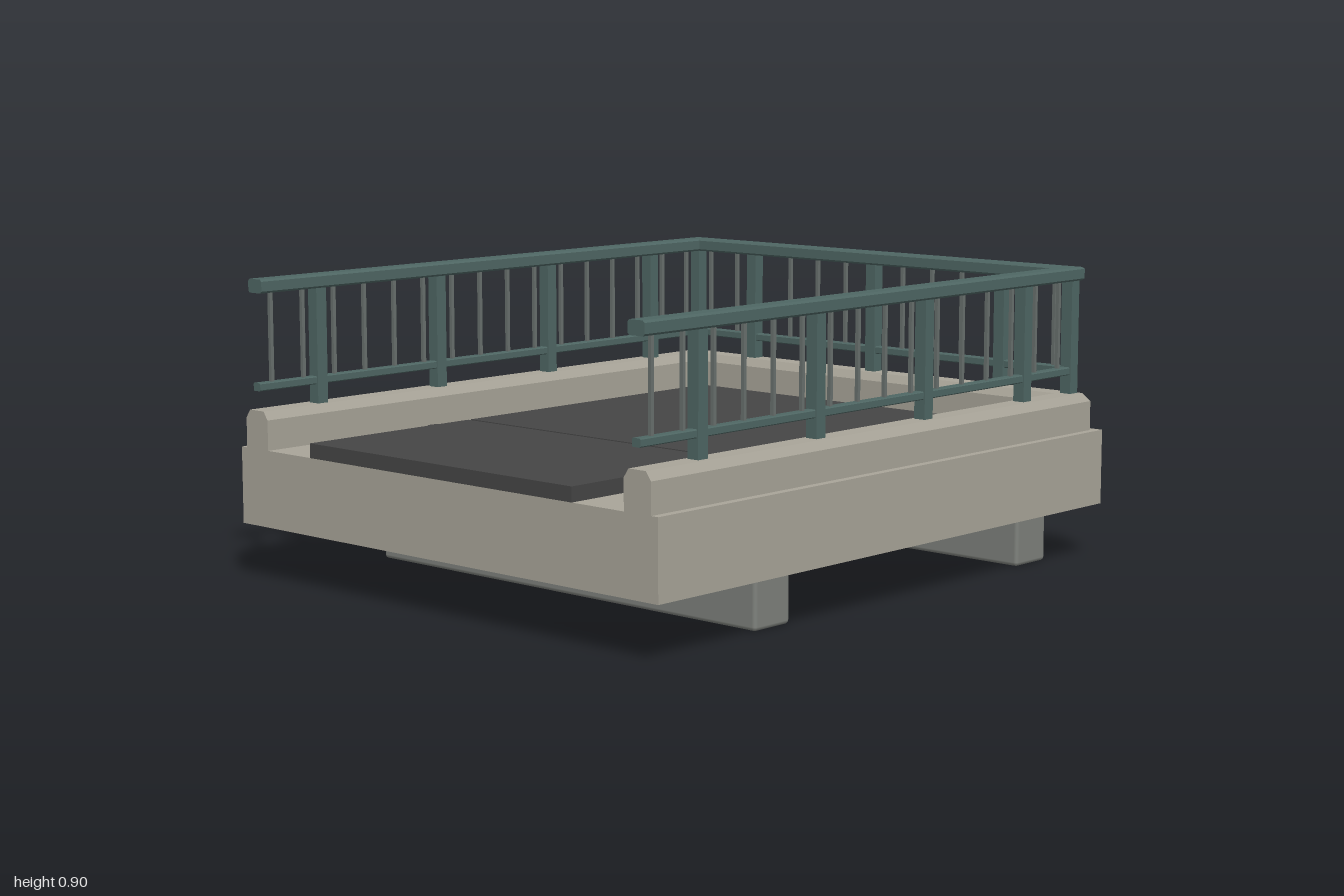
import * as THREE from 'three';
import { RoundedBoxGeometry } from 'three/addons/geometries/RoundedBoxGeometry.js';

// Sweeps a closed (inset, y) profile along three sides, mitred at the back corners.
function sweepU(halfWidth, back, front, profile) {
  const at = (d, y) => [
    [-halfWidth + d, y, front], [-halfWidth + d, y, back + d],
    [halfWidth - d, y, back + d], [halfWidth - d, y, front],
  ];
  const rows = profile.map(([d, y]) => at(d, y));
  const n = rows.length;
  const pos = [];
  const tri = (a, b, c) => pos.push(...a, ...b, ...c);
  for (let j = 0; j < n; j++) {
    const p = rows[j], q = rows[(j + 1) % n];
    for (let i = 0; i < 3; i++) {
      tri(p[i], q[i], q[i + 1]);
      tri(p[i], q[i + 1], p[i + 1]);
    }
  }
  // end caps at the open front
  for (let j = 1; j < n - 1; j++) {
    tri(rows[0][0], rows[j + 1][0], rows[j][0]);
    tri(rows[0][3], rows[j][3], rows[j + 1][3]);
  }
  const g = new THREE.BufferGeometry();
  g.setAttribute('position', new THREE.Float32BufferAttribute(pos, 3));
  g.computeVertexNormals();
  return g;
}

// Rectangle profile with chamfered corners.
function barProfile(w, y0, y1, c) {
  return [[0, y0 + c], [0, y1 - c], [c, y1], [w - c, y1],
    [w, y1 - c], [w, y0 + c], [w - c, y0], [c, y0]];
}

export function createModel() {
  const group = new THREE.Group();
  const material = (name, color) => new THREE.MeshStandardMaterial({ name, color });
  const concrete = material('concrete', 0xa8a498);
  const beamGrey = material('beamGrey', 0x7d807b);
  const darkPlate = material('darkPlate', 0x454545);
  const railGreen = material('railGreen', 0x4e6663);
  const barGrey = material('barGrey', 0x68706d);

  const add = (name, geometry, mat, x = 0, y = 0, z = 0) => {
    const m = new THREE.Mesh(geometry, mat);
    m.name = name;
    m.position.set(x, y, z);
    group.add(m);
    return m;
  };
  const box = (name, mat, w, y0, y1, d, x, z) =>
    add(name, new THREE.BoxGeometry(w, y1 - y0, d), mat, x, (y0 + y1) / 2, z);

  // base slab and the kerb round three sides
  box('slab', concrete, 1.69, 0.165, 0.395, 2, 0, 0);
  add('kerb', sweepU(0.82, -0.97, 1, [
    [0, 0.395], [0, 0.485], [0.018, 0.51], [0.08, 0.51], [0.097, 0.485], [0.097, 0.395],
  ]), concrete);

  // cross beams underneath
  for (const z of [0.45, -0.757]) {
    add('crossBeam', new RoundedBoxGeometry(1.52, 0.18, 0.147, 2, 0.012), beamGrey, 0, 0.09, z);
  }

  // floor plate in two sections with a shallow joint
  box('rearPlate', darkPlate, 1.065, 0.395, 0.438, 1.054, 0, -0.163);
  box('frontPlate', darkPlate, 1.065, 0.395, 0.438, 0.624, 0, 0.688);
  box('plateJoint', darkPlate, 1.065, 0.395, 0.428, 0.012, 0, 0.37);

  // bolts beside the plate
  for (const x of [-0.603, 0.603]) {
    for (const z of [-0.76, 0.44]) {
      add('bolt', new THREE.CylinderGeometry(0.028, 0.028, 0.025, 20), darkPlate, x, 0.4075, z);
    }
  }

  // railing: hand rail and lower rail
  add('handRail', sweepU(0.798, -0.957, 1, barProfile(0.06, 0.857, 0.898, 0.006)), railGreen);
  add('lowerRail', sweepU(0.783, -0.942, 1, barProfile(0.03, 0.568, 0.592, 0.003)), railGreen);

  // posts and balusters
  const sideX = 0.768, backZ = -0.927;
  const post = (x, z) => box('post', railGreen, 0.038, 0.505, 0.86, 0.038, x, z);
  const baluster = (x, z) => box('baluster', barGrey, 0.011, 0.588, 0.86, 0.011, x, z);
  for (const s of [-1, 1]) {
    for (const z of [0.765, 0.282, -0.202, -0.685, backZ]) post(s * sideX, z);
    for (let i = 0; i < 16; i++) baluster(s * sideX, 0.944 - i * 0.1205);
    post(s * 0.513, backZ);
    for (const i of [1, 2, 3, 5, 6]) baluster(s * i * 0.1183, backZ);
  }
  post(0, backZ);

  return group;
}
